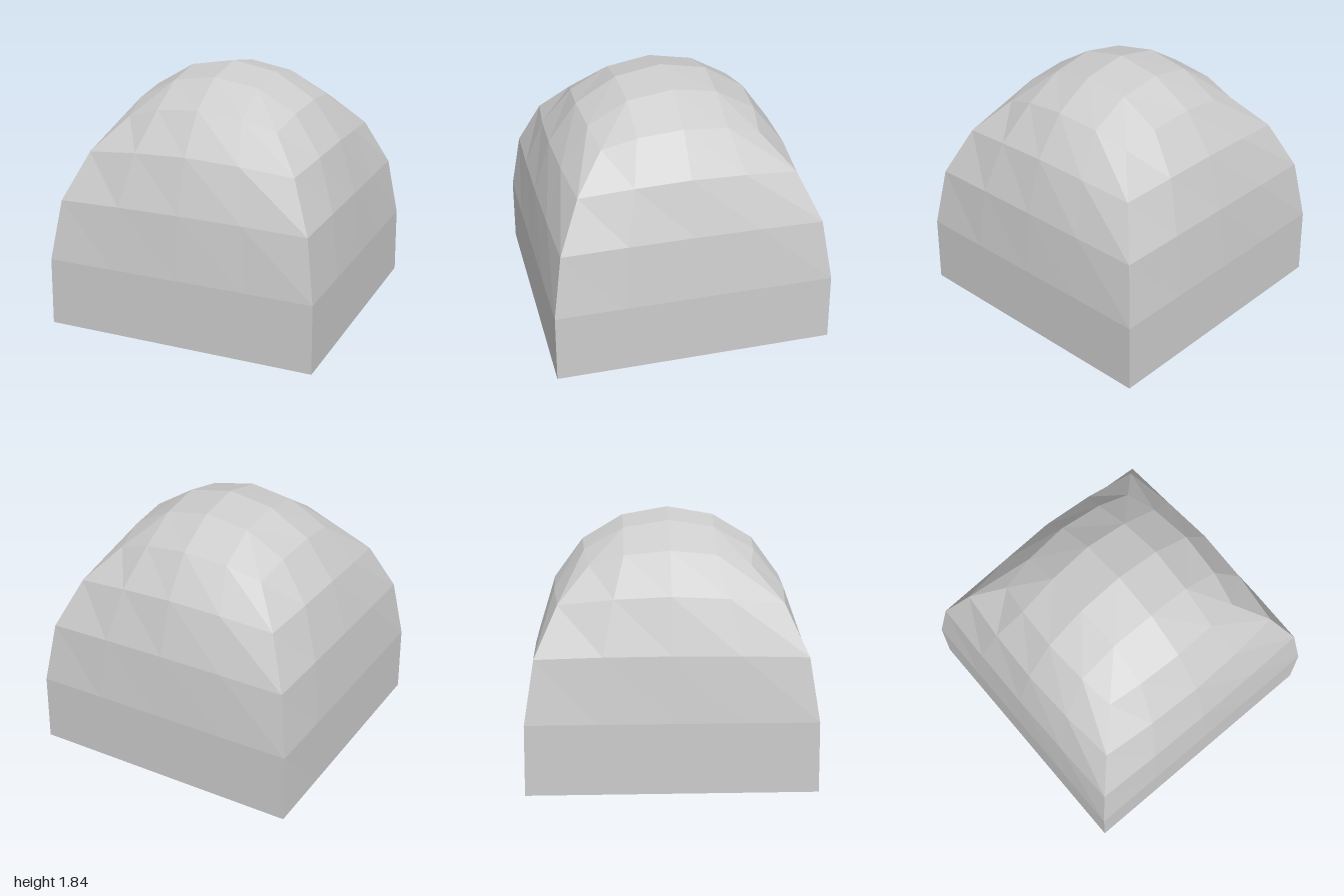
import * as THREE from 'three';

// Square rings from top to base: [tangent, radius, height] at side middle, quarter and corner
const RINGS = [
  [[0, 0.62, 1.61], [0.32, 0.6, 1.575], [0.56, 0.56, 1.5]],
  [[0, 0.826, 1.33], [0.39, 0.81, 1.31], [0.77, 0.77, 1.268]],
  [[0, 0.945, 0.95], [0.465, 0.94, 0.945], [0.926, 0.926, 0.93]],
  [[0, 0.996, 0.495], [0.5, 0.996, 0.495], [0.995, 0.995, 0.494]],
  [[0, 1, 0], [0.5, 1, 0], [1, 1, 0]],
];

// Point on a side (0 front, 1 +x, 2 back, 3 -x); each side is the front turned a quarter
function place([t, r, y], side) {
  let x = t, z = r;
  for (let i = 0; i < side; i++) [x, z] = [z, -x];
  return [x, y, z];
}

// Point of a ring at step -2 (corner) .. 2 (corner) along a side
function ringPoint(ring, step, side) {
  const [t, r, y] = RINGS[ring][Math.abs(step)];
  return place([Math.sign(step) * t, r, y], side);
}

function facetedMesh(name, quads, material) {
  const positions = quads.flatMap(([a, b, c, d]) => [...a, ...b, ...c, ...a, ...c, ...d]);
  const geometry = new THREE.BufferGeometry();
  geometry.setAttribute('position', new THREE.Float32BufferAttribute(positions, 3));
  geometry.computeVertexNormals();
  const mesh = new THREE.Mesh(geometry, material);
  mesh.name = name;
  return mesh;
}

export function createModel() {
  const group = new THREE.Group();
  group.name = 'squareDome';
  const material = new THREE.MeshStandardMaterial({ color: 0xcccccc, flatShading: true });
  const cap = [], walls = [];

  for (let side = 0; side < 4; side++) {
    // One quarter of the four-by-four crown
    const next = side + 1;
    const apex = [0, 1.84, 0];
    const inner = place([0, 0.33, 1.782], side);
    const innerNext = place([0, 0.33, 1.782], next);
    const diagonal = place([0.32, 0.32, 1.73], side);
    const quarter = ringPoint(0, 1, side);
    const quarterNext = ringPoint(0, -1, next);
    cap.push(
      [apex, inner, diagonal, innerNext],
      [inner, ringPoint(0, 0, side), quarter, diagonal],
      [diagonal, quarter, ringPoint(0, 2, side), quarterNext],
      [diagonal, quarterNext, ringPoint(0, 0, next), innerNext],
    );

    // Bands of four panels down the side
    for (let ring = 0; ring < RINGS.length - 1; ring++) {
      for (let s = -2; s < 2; s++) {
        walls.push([
          ringPoint(ring, s, side), ringPoint(ring + 1, s, side),
          ringPoint(ring + 1, s + 1, side), ringPoint(ring, s + 1, side),
        ]);
      }
    }
  }

  // Flat underside
  const base = [[[-1, 0, 1], [-1, 0, -1], [1, 0, -1], [1, 0, 1]]];

  group.add(
    facetedMesh('crown', cap, material),
    facetedMesh('walls', walls, material),
    facetedMesh('base', base, material),
  );
  return group;
}
